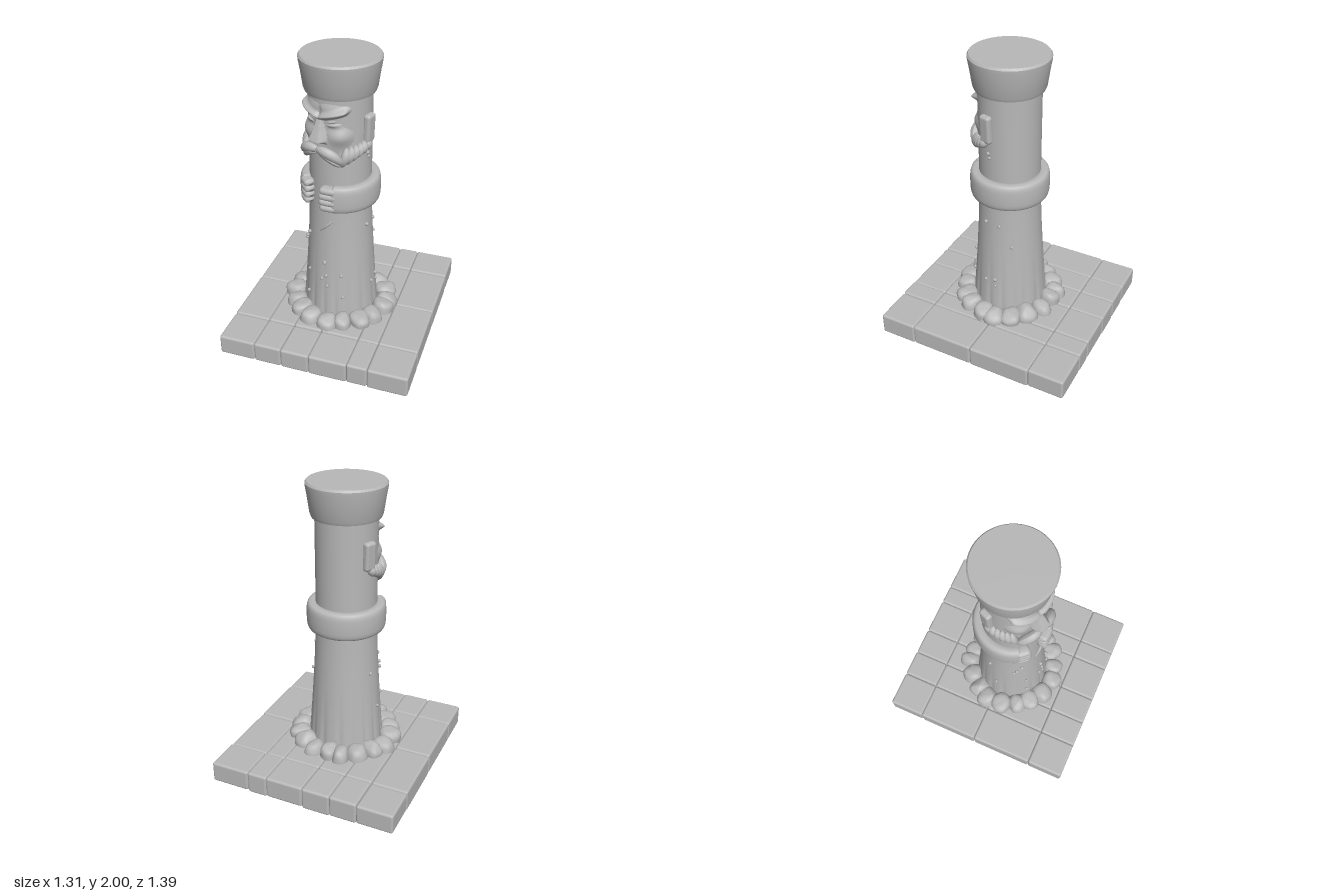
import * as THREE from 'three';
import { toCreasedNormals } from 'three/addons/utils/BufferGeometryUtils.js';
import { RoundedBoxGeometry } from 'three/addons/geometries/RoundedBoxGeometry.js';
import { ParametricGeometry } from 'three/addons/geometries/ParametricGeometry.js';

const stone = new THREE.MeshStandardMaterial({ color: 0xb8b8b8 });
stone.name = 'stone grey';

const DEG = Math.PI / 180;
let seed = 7;
const rand = () => (seed = (seed * 16807) % 2147483647) / 2147483647;
const jitter = (a) => (rand() * 2 - 1) * a;
const gauss = (d, w) => Math.exp(-(d * d) / (w * w));
const clamp = THREE.MathUtils.clamp;
const soft = (v, p) => Math.sign(v) * Math.abs(v) ** p;

// Point at an angle (degrees from +z toward +x), height and radius
const polar = (a, y, r) => new THREE.Vector3(r * Math.sin(a * DEG), y, r * Math.cos(a * DEG));

function add(parent, name, geometry) {
  const mesh = new THREE.Mesh(geometry, stone);
  mesh.name = name;
  parent.add(mesh);
  return mesh;
}

// Band curled round the pillar, with rounded ends
function band(a0, a1, y, radius, thick, height, endAngle, power, segs) {
  return new ParametricGeometry((u, v, p) => {
    const a = a0 + (a1 - a0) * u;
    const d = clamp(Math.min(a - a0, a1 - a) / endAngle, 0, 1);
    const k = Math.sqrt(Math.max(0.0001, 1 - (1 - d) ** 2));
    const t = v * Math.PI * 2;
    p.copy(polar(a, y + height * k * soft(Math.sin(t), power), radius + thick * k * soft(Math.cos(t), power)));
  }, segs, 24);
}

// Tapered lock of hair through [angle, height, radius] points
function strand(points, radius) {
  const curve = new THREE.CatmullRomCurve3(points.map((p) => polar(...p)));
  const n = 16, m = 10;
  const geo = new THREE.TubeGeometry(curve, n, radius, m);
  const pos = geo.attributes.position;
  const v = new THREE.Vector3();
  for (let i = 0; i <= n; i++) {
    const c = curve.getPointAt(i / n);
    const k = Math.max(0.01, Math.sin(Math.PI * i / n)) ** 0.5;
    for (let j = 0; j <= m; j++) {
      const id = i * (m + 1) + j;
      v.fromBufferAttribute(pos, id).sub(c).multiplyScalar(k).add(c);
      pos.setXYZ(id, v.x, v.y, v.z);
    }
  }
  geo.computeVertexNormals();
  return geo;
}

// Lumpy, slightly boxy pebble
function boulder(w, h, d) {
  const geo = new THREE.SphereGeometry(1, 18, 12);
  const pos = geo.attributes.position;
  const s = rand() * 10;
  for (let i = 0; i < pos.count; i++) {
    const x = pos.getX(i), y = pos.getY(i), z = pos.getZ(i);
    const k = 1 + 0.07 * Math.sin(4 * x + s) * Math.sin(4 * z + s * 2) + 0.05 * Math.sin(5 * y + s);
    pos.setXYZ(i, soft(x, 0.8) * w * k, soft(y, 0.8) * h * k, soft(z, 0.8) * d * k);
  }
  geo.computeVertexNormals();
  return geo;
}

// Radius of the carved face at local angle a and height y
function faceRadius(a, y) {
  const s = Math.abs(a);
  let r = 0.193;
  // forehead and cheeks
  r += 0.02 * gauss(s - 20, 38) * gauss(y - 1.7, 0.05);
  r += 0.034 * gauss(s - 36, 24) * gauss(y - 1.53, 0.06);
  r += 0.018 * gauss(s, 45) * gauss(y - 1.44, 0.07);
  // frowning brows, rising outward
  r += 0.034 * gauss(y - (1.648 + 0.0011 * s), 0.02) * gauss(Math.max(0, s - 42), 10);
  r -= 0.012 * gauss(s, 3.5) * gauss(y - 1.68, 0.03);
  // eyelids with a narrow slit
  r += 0.02 * gauss(s - 25, 13) * gauss(y - 1.612, 0.02);
  r -= 0.014 * gauss(s - 25, 14) * gauss(y - (1.602 + 0.0006 * s), 0.006);
  // wedge nose, widening to the tip
  const t = clamp((1.66 - y) / 0.15, 0, 1);
  const under = clamp((y - 1.475) / 0.025, 0, 1);
  const width = 7 + 10 * t;
  const nose = 0.205 + 0.07 * t;
  if (y < 1.67) r = Math.max(r, r + (nose - r) * under * clamp((1 - s / width) * 1.8, 0, 1));
  return r;
}

export function createModel() {
  const model = new THREE.Group();
  model.name = 'carvedPillar';

  // Paved base
  const base = new THREE.Group();
  base.name = 'pavedBase';
  model.add(base);
  const xs = [-0.655, -0.405, -0.217, -0.022, 0.24, 0.38, 0.652];
  const zs = [-0.695, -0.442, -0.01, 0.43, 0.692];
  for (let i = 0; i < 6; i++) for (let j = 0; j < 4; j++) {
    const w = xs[i + 1] - xs[i], d = zs[j + 1] - zs[j];
    const top = 0.154 + jitter(0.004), bottom = 0.006 + jitter(0.006);
    const tile = add(base, 'pavingStone', new RoundedBoxGeometry(w, top - bottom, d, 3, 0.016));
    tile.position.set((xs[i] + xs[i + 1]) / 2, (top + bottom) / 2, (zs[j] + zs[j + 1]) / 2);
  }

  const pillar = new THREE.Group();
  pillar.name = 'pillar';
  pillar.position.set(-0.014, 0, 0.025);
  model.add(pillar);

  // Ring of rubble round the foot
  for (let i = 0; i < 18; i++) {
    const rock = add(pillar, 'rubbleStone', boulder(0.066 + jitter(0.008), 0.07 + jitter(0.008), 0.078 + jitter(0.006)));
    const a = i * 20 + jitter(3);
    rock.position.copy(polar(a, 0.16, 0.312 + jitter(0.012)));
    rock.rotation.set(0.15, a * DEG, jitter(0.15), 'YXZ');
  }

  // Flared shaft with robe folds near the foot
  const profile = [[0.264, 0.1], [0.256, 0.2], [0.248, 0.3], [0.24, 0.4], [0.226, 0.6], [0.214, 0.8], [0.206, 1.0], [0.203, 1.2], [0.203, 1.8]];
  const shaft = new THREE.LatheGeometry(profile.map((p) => new THREE.Vector2(...p)), 120);
  const pos = shaft.attributes.position;
  for (let i = 0; i < pos.count; i++) {
    const a = Math.atan2(pos.getX(i), pos.getZ(i));
    const fade = clamp((0.6 - pos.getY(i)) / 0.4, 0, 1);
    const k = 1 - 0.035 * fade * Math.abs(Math.sin(a * 8 + 0.6 * Math.sin(a * 3))) ** 10;
    pos.setX(i, pos.getX(i) * k);
    pos.setZ(i, pos.getZ(i) * k);
  }
  shaft.computeVertexNormals();
  add(pillar, 'shaft', shaft);

  // Flat-topped flared cap
  const rim = [[0.18, 1.768], [0.224, 1.772], [0.233, 1.795], [0.248, 1.9], [0.259, 1.965], [0.26, 1.985], [0.25, 1.998], [0, 2]];
  add(pillar, 'cap', toCreasedNormals(new THREE.LatheGeometry(rim.map((p) => new THREE.Vector2(...p)), 64), 0.6));

  // Arms wrapped round the shaft, ending in two fists at the front
  add(pillar, 'arms', band(0, 310, 1.1, 0.222, 0.042, 0.094, 8, 0.55, 110));
  for (const [from, to] of [[-17, 14], [296, 323.5]]) {
    for (let i = 0; i < 4; i++) {
      const inset = i === 0 || i === 3 ? 1.5 : 0;
      add(pillar, 'finger', band(from + inset, to - inset, 1.038 + i * 0.041, 0.225, 0.041, 0.025, 6, 0.8, 24));
    }
  }

  // Face, turned a little to one side
  const head = new THREE.Group();
  head.name = 'head';
  head.rotation.y = -20 * DEG;
  pillar.add(head);
  add(head, 'face', new ParametricGeometry((u, v, p) => {
    const a = -85 + 170 * u, y = 1.36 + 0.41 * v;
    p.copy(polar(a, y, faceRadius(a, y)));
  }, 100, 90));

  for (const s of [-1, 1]) {
    // ear
    const ear = add(head, 'ear', new RoundedBoxGeometry(0.05, 0.19, 0.082, 3, 0.02));
    ear.position.copy(polar(s * 94, 1.555, 0.212));
    ear.rotation.set(0, s * 4 * DEG, s * -0.04);
    // drooping moustache
    add(head, 'moustache', strand([[s * -5, 1.44, 0.232], [s * 14, 1.438, 0.242], [s * 30, 1.405, 0.238], [s * 42, 1.35, 0.224]], 0.034));
    add(head, 'moustacheLock', strand([[s * 2, 1.415, 0.23], [s * 18, 1.4, 0.236], [s * 32, 1.36, 0.23], [s * 38, 1.335, 0.22]], 0.024));
    // beard along the jaw
    for (let i = 0; i < 6; i++) {
      const a = 46 + i * 8.5, low = 1.325 + i * 0.02;
      add(head, 'beardLock', strand([[s * (a + 3), 1.455 + i * 0.006, 0.202], [s * a, (1.455 + low) / 2 + 0.01, 0.218], [s * (a - 7), low, 0.207]], 0.028));
    }
  }

  // Chips and a scar on the robe: [angle, height]
  const chips = [[-64, 0.69], [-59, 0.72], [-50, 0.77], [-9, 0.6], [-6, 0.5], [-43, 0.49], [-14, 0.47], [-4, 0.42],
    [19, 0.51], [21, 0.34], [-42, 0.31], [75, 0.4], [70, 0.86], [98, 0.855], [92, 0.42], [93, 0.37], [120, 0.7], [-110, 0.72], [-95, 0.45], [75, 1.38], [78, 1.35]];
  for (const [a, y] of chips) {
    const r = y > 1 ? 0.203 : 0.207 + 0.055 * ((1 - y) / 0.8);
    add(pillar, 'chip', new THREE.SphereGeometry(0.012 + jitter(0.003), 8, 6)).position.copy(polar(a, y, r));
  }
  add(pillar, 'scar', strand([[-21, 0.83, 0.214], [-8, 0.88, 0.213], [6, 0.925, 0.209]], 0.009));

  return model;
}
